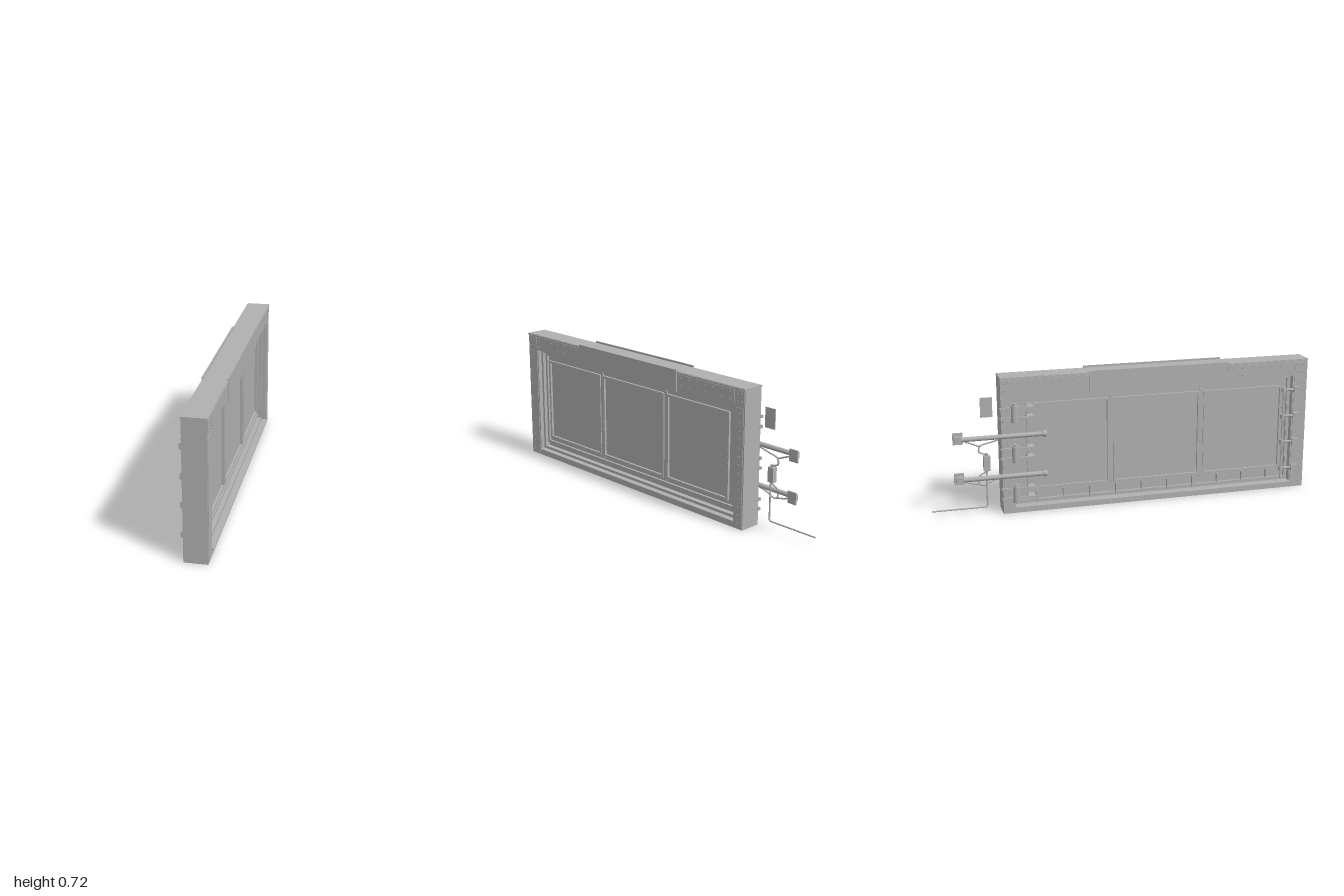
import * as THREE from 'three';
import { mergeGeometries } from 'three/addons/utils/BufferGeometryUtils.js';

const steel = new THREE.MeshStandardMaterial({ color: 0xb0b0b0 });
steel.name = 'grey steel';

export function createModel() {
  const root = new THREE.Group();
  root.name = 'industrialDoor';

  const add = (name, geos, parent = root) => {
    const mesh = new THREE.Mesh(Array.isArray(geos) ? mergeGeometries(geos) : geos, steel);
    mesh.name = name;
    parent.add(mesh);
    return mesh;
  };
  const box = (x0, x1, y0, y1, z0, z1) =>
    new THREE.BoxGeometry(x1 - x0, y1 - y0, z1 - z0)
      .translate((x0 + x1) / 2, (y0 + y1) / 2, (z0 + z1) / 2);
  // Rectangular border lying in the z-y plane
  const ring = (x0, x1, y0, y1, z0, z1, w) => [
    box(x0, x1, y0, y0 + w, z0, z1), box(x0, x1, y1 - w, y1, z0, z1),
    box(x0, x1, y0 + w, y1 - w, z0, z0 + w), box(x0, x1, y0 + w, y1 - w, z1 - w, z1),
  ];
  const rodY = (r, x, y0, y1, z, n = 16) =>
    new THREE.CylinderGeometry(r, r, y1 - y0, n).translate(x, (y0 + y1) / 2, z);
  const rodZ = (r, x, y, z0, z1, n = 16) =>
    new THREE.CylinderGeometry(r, r, z1 - z0, n).rotateX(Math.PI / 2).translate(x, y, (z0 + z1) / 2);
  const cable = (r, pts) => new THREE.TubeGeometry(
    new THREE.CatmullRomCurve3(pts.map(p => new THREE.Vector3(...p)), false, 'centripetal'), 24, r, 8);

  // Outer frame
  const F = { x0: -0.043, x1: 0.07 };
  add('frame', [
    box(F.x0, F.x1, 0, 0.708, 0.92, 1), box(F.x0, F.x1, 0, 0.708, -0.64, -0.58),
    box(F.x0, F.x1, 0.62, 0.708, -0.58, 0.92), box(F.x0, F.x1, 0, 0.033, -0.58, 0.92),
  ]);
  add('sillPlate', box(-0.065, 0.08, 0.033, 0.037, -0.58, 0.92));

  // Cover strips and plates on both faces of the frame
  for (const s of [1, -1]) {
    const face = s > 0 ? F.x1 : F.x0;
    const slab = (t, ...r) => s > 0 ? box(face, face + t, ...r) : box(face - t, face, ...r);
    const side = s > 0 ? 'left' : 'right';
    add(side + 'CoverStrips', [
      slab(0.003, 0.01, 0.612, 0.927, 0.993), slab(0.003, 0.01, 0.612, -0.634, -0.586),
      slab(0.003, 0.625, 0.695, 0.555, 0.915), slab(0.003, 0.625, 0.695, -0.575, -0.195),
      slab(0.003, 0.625, 0.695, 0.927, 0.993), slab(0.003, 0.625, 0.695, -0.634, -0.586),
      slab(0.005, 0.698, 0.706, -0.64, 1),
    ]);
    add(side + 'HeaderPlate', slab(0.007, 0.606, 0.717, -0.19, 0.55));
  }

  // Door leaf with stepped border
  add('doorLeaf', box(0.002, 0.02, 0.037, 0.62, -0.58, 0.92));
  add('doorBorder', [
    ...ring(0.02, 0.048, 0.037, 0.62, -0.58, 0.92, 0.014),
    ...ring(0.02, 0.032, 0.072, 0.602, -0.553, 0.903, 0.014),
    ...ring(-0.012, 0.002, 0.037, 0.62, -0.58, 0.92, 0.018),
  ]);

  // Three panels, each with a raised trim on both faces
  const panels = [[0.44, 0.87], [-0.05, 0.41], [-0.5, -0.08]];
  for (const [z0, z1] of panels) {
    add('panelTrim', [
      ...ring(0.02, 0.032, 0.105, 0.562, z0 - 0.006, z1 + 0.006, 0.013),
      ...ring(-0.01, 0.002, 0.105, 0.562, z0 - 0.006, z1 + 0.006, 0.013),
    ]);
  }
  for (const z of [0.425, -0.065])
    add('panelDivider', box(-0.005, 0.027, 0.09, 0.575, z - 0.01, z + 0.01));

  // Gusset ribs along the sill
  const ribs = [];
  for (let i = 0; i < 10; i++) {
    const z = -0.46 + i * 0.14;
    ribs.push(box(-0.015, 0.002, 0.037, 0.1, z - 0.004, z + 0.004));
  }
  add('sillRibs', ribs);

  // Rivets
  const rivets = [];
  const rivet = (x, y, z, r = 0.0045) =>
    rivets.push(new THREE.SphereGeometry(r, 6, 4).scale(0.8, 1, 1).translate(x, y, z));
  for (const x of [F.x0 - 0.003, F.x1 + 0.003]) {
    for (let i = 0; i < 14; i++) {
      rivet(x, 0.03 + i * 0.0425, 0.975);
      rivet(x, 0.03 + i * 0.0425, -0.61);
    }
    for (const y of [0.642, 0.68]) {
      for (let i = 0; i < 7; i++) {
        rivet(x, y, 0.58 + i * 0.053);
        rivet(x, y, -0.22 - i * 0.055);
      }
      for (const z of [0.975, 0.945, -0.598, -0.622]) rivet(x, y, z);
    }
  }
  for (const [z0, z1] of panels) for (const x of [0.032, -0.01]) {
    for (let i = 0; i <= 12; i++)
      for (const z of [z0, z1]) rivet(x, 0.112 + i * 0.0369, z, 0.003);
    for (let i = 1; i < 11; i++)
      for (const y of [0.112, 0.555]) rivet(x, y, z0 + (z1 - z0) * i / 11, 0.003);
  }
  add('rivets', rivets);

  // Hinges
  for (const y of [0.065, 0.275, 0.485]) {
    const hinge = new THREE.Group();
    hinge.name = 'hinge';
    root.add(hinge);
    add('hingeBarrel', [
      rodY(0.0175, -0.064, y, y + 0.085, -0.575, 20),
      rodY(0.01, -0.064, y + 0.085, y + 0.095, -0.575),
      rodY(0.005, -0.058, y - 0.01, y, -0.575, 10),
    ], hinge);
    for (const dy of [0.016, 0.066]) {
      add('hingeStrap', [
        box(-0.056, -0.046, y + dy - 0.007, y + dy + 0.007, -0.645, -0.47),
        box(-0.046, 0.002, y + dy - 0.006, y + dy + 0.006, -0.51, -0.475),
      ], hinge);
      add('hingeBolt', rodZ(0.005, -0.04, y + dy, -0.648, -0.64, 8), hinge);
    }
  }

  // Latches and their linkage on the opposite stile
  const latchY = [0.115, 0.262, 0.405, 0.548];
  for (const y of latchY) {
    add('latch', [
      box(-0.065, -0.043, y - 0.016, y + 0.016, 0.922, 0.955),
      rodZ(0.007, -0.053, y, 0.865, 0.925, 10),
      rodY(0.012, -0.053, y - 0.012, y + 0.012, 0.865, 12),
    ]);
  }
  add('latchRod', rodY(0.004, -0.053, 0.06, 0.56, 0.865, 8));
  for (let i = 0; i < 3; i++) {
    const a = latchY[i], b = latchY[i + 1];
    add('latchLink', cable(0.004, [
      [-0.055, a + 0.01, 0.875], [-0.062, a + 0.06, 0.885],
      [-0.055, (a + b) / 2 + 0.02, 0.87], [-0.06, b - 0.01, 0.88],
    ]));
  }

  // Support arms with end plates
  for (const y of [0.412, 0.203]) {
    const arm = new THREE.Group();
    arm.name = 'supportArm';
    root.add(arm);
    add('armTube', rodZ(0.012, -0.052, y, -0.84, -0.43), arm);
    add('armKnob', new THREE.SphereGeometry(0.017, 14, 10).translate(-0.052, y, -0.425), arm);
    add('armPlate', [
      box(-0.036, -0.028, y - 0.03, y + 0.03, -0.882, -0.832),
      box(-0.056, -0.036, y - 0.014, y + 0.014, -0.872, -0.838),
    ], arm);
  }

  // Control box, sign and cables behind the frame
  const cx = -0.045;
  add('controlBox', [
    box(-0.06, -0.033, 0.242, 0.318, -0.735, -0.702),
    rodY(0.007, cx, 0.318, 0.33, -0.718, 10), rodY(0.007, cx, 0.23, 0.242, -0.718, 10),
  ]);
  add('signPlate', box(-0.034, -0.028, 0.512, 0.612, -0.74, -0.68));
  add('upperCables', [
    cable(0.004, [[cx, 0.4, -0.64], [cx, 0.385, -0.7], [cx, 0.37, -0.75], [cx, 0.34, -0.755], [cx, 0.325, -0.72]]),
    cable(0.004, [[cx, 0.4, -0.83], [cx, 0.385, -0.79], [cx, 0.37, -0.755]]),
  ]);
  add('lowerCables', [
    cable(0.004, [[cx, 0.235, -0.718], [cx, 0.215, -0.755], [cx, 0.17, -0.755], [cx, 0.165, -0.735], [cx, 0.185, -0.69], [cx, 0.197, -0.645]]),
    cable(0.004, [[cx, 0.17, -0.755], [cx, 0.18, -0.8], [cx, 0.195, -0.84]]),
  ]);
  add('groundCable', [
    rodY(0.004, -0.035, 0.052, 0.235, -0.72, 8),
    cable(0.004, [[-0.035, 0.055, -0.72], [-0.035, 0.047, -0.724], [-0.035, 0.045, -0.735]]),
    rodZ(0.004, -0.035, 0.045, -1, -0.733, 8),
  ]);
  return root;
}
